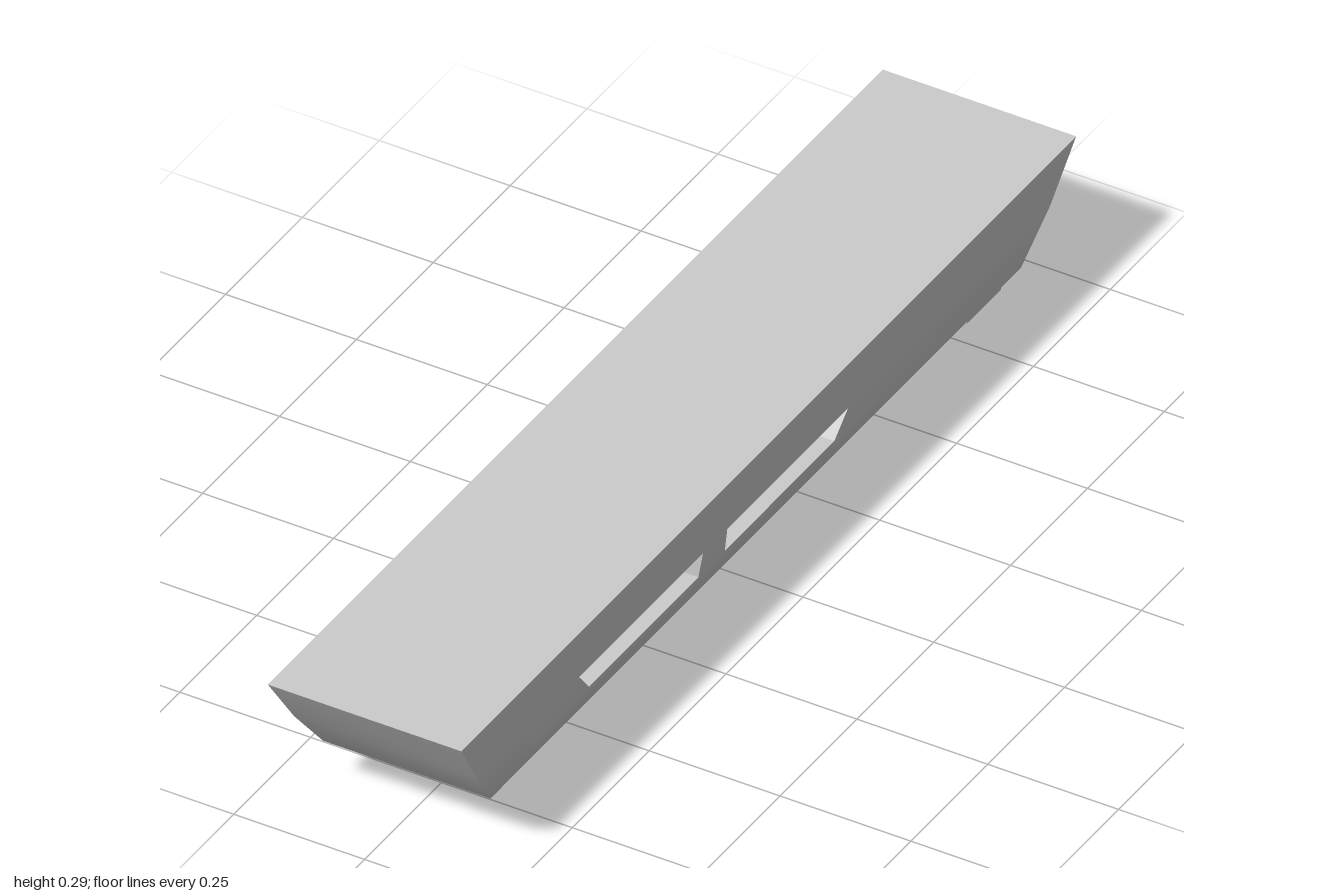
import * as THREE from 'three';
import { mergeGeometries, mergeVertices } from 'three/addons/utils/BufferGeometryUtils.js';

const V = (x, y, z) => new THREE.Vector3(x, y, z);

// Half cross-section [x, y], keel to deck
const section = [[0, 0], [0.035, 0.008], [0.07, 0.02], [0.1, 0.04], [0.128, 0.066],
  [0.16, 0.097], [0.175, 0.185], [0.185, 0.288]];
// Raked end profile [z, y]
const rake = [[0.73, 0], [0.863, 0.097], [0.932, 0.185], [1, 0.288]];

// Value of a profile at height y
function at(profile, y) {
  let i = 1;
  while (i < profile.length - 1 && y > profile[i][1]) i++;
  const [a, ya] = profile[i - 1], [b, yb] = profile[i];
  return a + (b - a) * (y - ya) / (yb - ya);
}
const halfWidth = y => at(section, y);
const halfLength = y => at(rake, y);

// Window outlines [z, y]: top front, bottom front, bottom rear, top rear
const sill = 0.133, head = 0.185, knuckle = 0.097, deckY = 0.288;
const windows = [
  [[0.6, head], [0.553, sill], [0.197, sill], [0.197, head]],
  [[0.118, head], [0.111, sill], [-0.245, sill], [-0.275, head]],
];

// Surface between two matching rows of points
function strip(a, b) {
  const pts = [];
  for (let i = 0; i < a.length - 1; i++) {
    pts.push(a[i], a[i + 1], b[i + 1], a[i], b[i + 1], b[i]);
  }
  return new THREE.BufferGeometry().setFromPoints(pts);
}

// Side panel from a [z, y] outline, bent onto the cross-section
function sidePanel(outline, side) {
  const shape = new THREE.Shape(outline.map(([z, y]) => new THREE.Vector2(-side * z, y)));
  const geo = new THREE.ShapeGeometry(shape).toNonIndexed();
  geo.deleteAttribute('uv');
  geo.deleteAttribute('normal');
  const p = geo.attributes.position;
  for (let i = 0; i < p.count; i++) {
    const u = p.getX(i), y = p.getY(i);
    p.setXYZ(i, side * halfWidth(y), y, -side * u);
  }
  return geo;
}

function smooth(parts) {
  const geo = mergeVertices(mergeGeometries(parts), 1e-4);
  geo.computeVertexNormals();
  return geo;
}

export function createModel() {
  const group = new THREE.Group();
  const grey = new THREE.MeshStandardMaterial({ color: 0xcccccc });
  const greyDouble = new THREE.MeshStandardMaterial({ color: 0xcccccc, side: THREE.DoubleSide });
  const add = (name, geo, mat = grey) => {
    const mesh = new THREE.Mesh(geo, mat);
    mesh.name = name;
    group.add(mesh);
    return mesh;
  };

  // Hull skin: rounded bottom and two notched sides
  const round = section.filter(([, y]) => y <= knuckle);
  const ring = [...round.slice(1).reverse().map(([x, y]) => [-x, y]), ...round];
  const skin = [strip(ring.map(([x, y]) => V(x, y, -halfLength(y))),
    ring.map(([x, y]) => V(x, y, halfLength(y))))];
  const ends = y => [halfLength(y), y];
  const rear = y => [-halfLength(y), y];
  for (const side of [1, -1]) {
    skin.push(sidePanel([rear(knuckle), ends(knuckle), ends(head), ...windows.flat(), rear(head)], side));
    const heads = windows.flat().filter(([, y]) => y === head);
    skin.push(sidePanel([ends(deckY), ends(head), ...heads, rear(head), rear(deckY)], side));
  }
  add('hull', smooth(skin));

  // Raked ends
  for (const [name, s] of [['frontEnd', 1], ['rearEnd', -1]]) {
    const edge = k => section.map(([x, y]) => V(k * x, y, s * halfLength(y)));
    add(name, smooth([strip(edge(s), edge(-s))]));
  }

  // Flat deck
  const w = halfWidth(deckY), l = halfLength(deckY);
  add('deck', smooth([strip([V(-w, deckY, l), V(w, deckY, l)], [V(-w, deckY, -l), V(w, deckY, -l)])]));

  // Walls of the openings running through the hull
  windows.forEach((outline, i) => {
    const loop = [...outline, outline[0]];
    const wall = k => loop.map(([z, y]) => V(k * halfWidth(y), y, z));
    const geo = strip(wall(1), wall(-1));
    geo.computeVertexNormals();
    add(i ? 'rearOpening' : 'frontOpening', geo, greyDouble);
  });

  // Thin fins near the rear end
  for (const side of [1, -1]) {
    const fin = add(side > 0 ? 'leftFin' : 'rightFin', new THREE.BoxGeometry(0.04, 0.01, 0.11));
    fin.position.set(side * 0.122, 0.072, -0.773);
  }
  return group;
}
